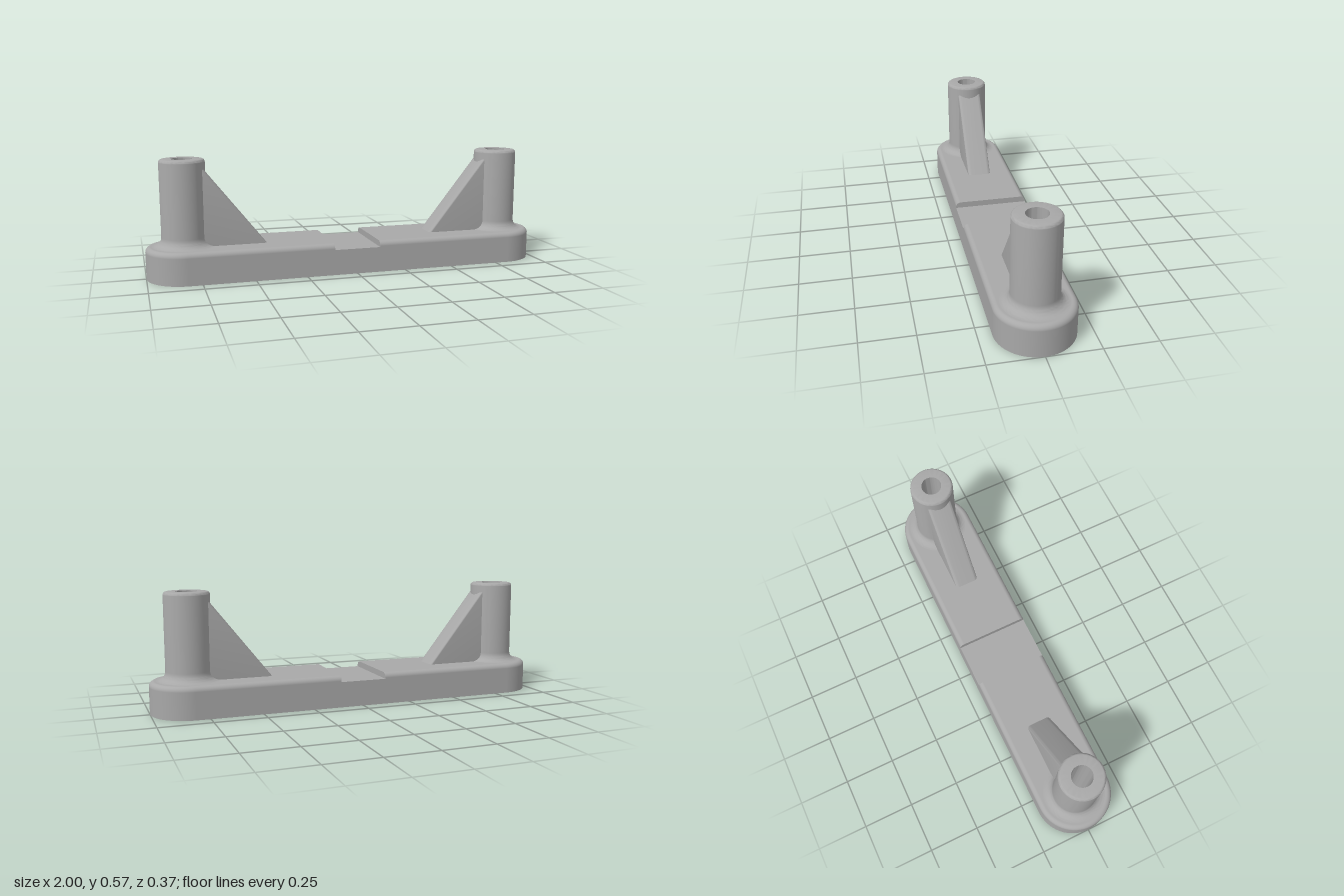
import * as THREE from 'three';
import { toCreasedNormals } from 'three/addons/utils/BufferGeometryUtils.js';

const HALF = 0.185, TOP = 0.155, ROUND = 0.025;   // base half width, height, edge rounding
const POST_X = 0.815, NOTCH_X = 0.115, NOTCH_Y = 0.125;
const BORE = 0.05, POST_R = 0.108, POST_TOP = 0.572, FILLET = 0.045;

// points on an arc, as [x, y]
function arc(cx, cy, r, from, to, n) {
  return Array.from({ length: n + 1 }, (_, i) => {
    const a = from + (to - from) * i / n;
    return [cx + r * Math.cos(a), cy + r * Math.sin(a)];
  });
}

// half stadium of half width r, with a round hole around the post
function endShape(r, hole) {
  const shape = new THREE.Shape();
  shape.moveTo(NOTCH_X, -r);
  shape.lineTo(POST_X, -r);
  shape.absarc(POST_X, 0, r, -Math.PI / 2, Math.PI / 2, false);
  shape.lineTo(NOTCH_X, r);
  shape.closePath();
  const path = new THREE.Path();
  path.absarc(POST_X, 0, hole, 0, Math.PI * 2, true);
  shape.holes.push(path);
  return new THREE.ShapeGeometry(shape, 32);
}

// side wall with rounded top edge, swept around the end
function wallGeometry() {
  const rows = [[HALF, 0, 0]];
  for (let j = 0; j <= 8; j++) {
    const t = j / 8 * Math.PI / 2;
    rows.push([HALF - ROUND + ROUND * Math.cos(t), TOP - ROUND + ROUND * Math.sin(t), t]);
  }
  const columns = [[NOTCH_X, -Math.PI / 2]];
  for (let i = 0; i <= 32; i++) columns.push([POST_X, (i / 32 - 0.5) * Math.PI]);
  columns.push([NOTCH_X, Math.PI / 2]);

  const position = [], normal = [], index = [], n = rows.length;
  columns.forEach(([cx, a], i) => rows.forEach(([r, y, t], j) => {
    position.push(cx + r * Math.cos(a), y, r * Math.sin(a));
    normal.push(Math.cos(t) * Math.cos(a), Math.sin(t), Math.cos(t) * Math.sin(a));
    if (i && j) {
      const p = (i - 1) * n + j - 1, q = p + n;
      index.push(p, p + 1, q, q, p + 1, q + 1);
    }
  }));
  const geometry = new THREE.BufferGeometry();
  geometry.setAttribute('position', new THREE.Float32BufferAttribute(position, 3));
  geometry.setAttribute('normal', new THREE.Float32BufferAttribute(normal, 3));
  geometry.setIndex(index);
  return geometry;
}

// cross-section face where the base steps down to the notch
function stepGeometry() {
  const c = HALF - ROUND, y = TOP - ROUND;
  const outline = [
    [-HALF, 0], [HALF, 0],
    ...arc(c, y, ROUND, 0, Math.PI / 2, 8),
    ...arc(-c, y, ROUND, Math.PI / 2, Math.PI, 8),
  ].map(p => new THREE.Vector2(...p));
  return new THREE.ShapeGeometry(new THREE.Shape(outline))
    .rotateY(-Math.PI / 2).translate(NOTCH_X, 0, 0);
}

// hollow post: flared foot, rounded rim, through bore
function postGeometry() {
  const rim = 0.015;
  const profile = [
    ...arc(POST_R + FILLET, TOP + FILLET, FILLET, Math.PI * 1.5, Math.PI, 10),
    ...arc(POST_R - rim, POST_TOP - rim, rim, 0, Math.PI / 2, 6),
    [BORE, POST_TOP], [BORE, 0],
  ].map(p => new THREE.Vector2(...p));
  return toCreasedNormals(new THREE.LatheGeometry(profile, 64), 0.6);
}

// sloping rib with rounded edges; its hidden edges lie inside base and post
function ribGeometry() {
  const slope = 0.37 / 0.295, foot = 0.425, low = 0.06, back = 0.755;
  const shape = new THREE.Shape([
    new THREE.Vector2(foot - (TOP - low) / slope, low),
    new THREE.Vector2(back, low),
    new THREE.Vector2(back, TOP + (back - foot) * slope),
  ]);
  const bevel = 0.02, half = 0.062;
  const geometry = new THREE.ExtrudeGeometry(shape, {
    depth: 2 * (half - bevel), bevelEnabled: true, bevelThickness: bevel,
    bevelSize: bevel, bevelOffset: -bevel, bevelSegments: 6,
  }).translate(0, 0, bevel - half);
  return toCreasedNormals(geometry, 0.5);
}

export function createModel() {
  const grey = new THREE.MeshStandardMaterial({ color: 0xa8a8a8 });
  grey.name = 'grey';
  const model = new THREE.Group();
  model.name = 'mountingBracket';

  const add = (parent, name, geometry) => {
    const mesh = new THREE.Mesh(geometry, grey);
    mesh.name = name;
    parent.add(mesh);
    return mesh;
  };

  // lowered middle of the base
  add(model, 'notchFloor', new THREE.BoxGeometry(2 * NOTCH_X, NOTCH_Y, 2 * HALF))
    .position.y = NOTCH_Y / 2;

  // two identical ends, the second turned half round
  const parts = {
    baseWall: wallGeometry(),
    baseTop: endShape(HALF - ROUND, POST_R + FILLET).rotateX(-Math.PI / 2).translate(0, TOP, 0),
    baseBottom: endShape(HALF, BORE).rotateX(Math.PI / 2),
    notchStep: stepGeometry(),
    post: postGeometry().translate(POST_X, 0, 0),
    rib: ribGeometry(),
  };
  ['leftEnd', 'rightEnd'].forEach((name, i) => {
    const end = new THREE.Group();
    end.name = name;
    end.rotation.y = i * Math.PI;
    for (const [part, geometry] of Object.entries(parts)) add(end, part, geometry);
    model.add(end);
  });
  return model;
}
